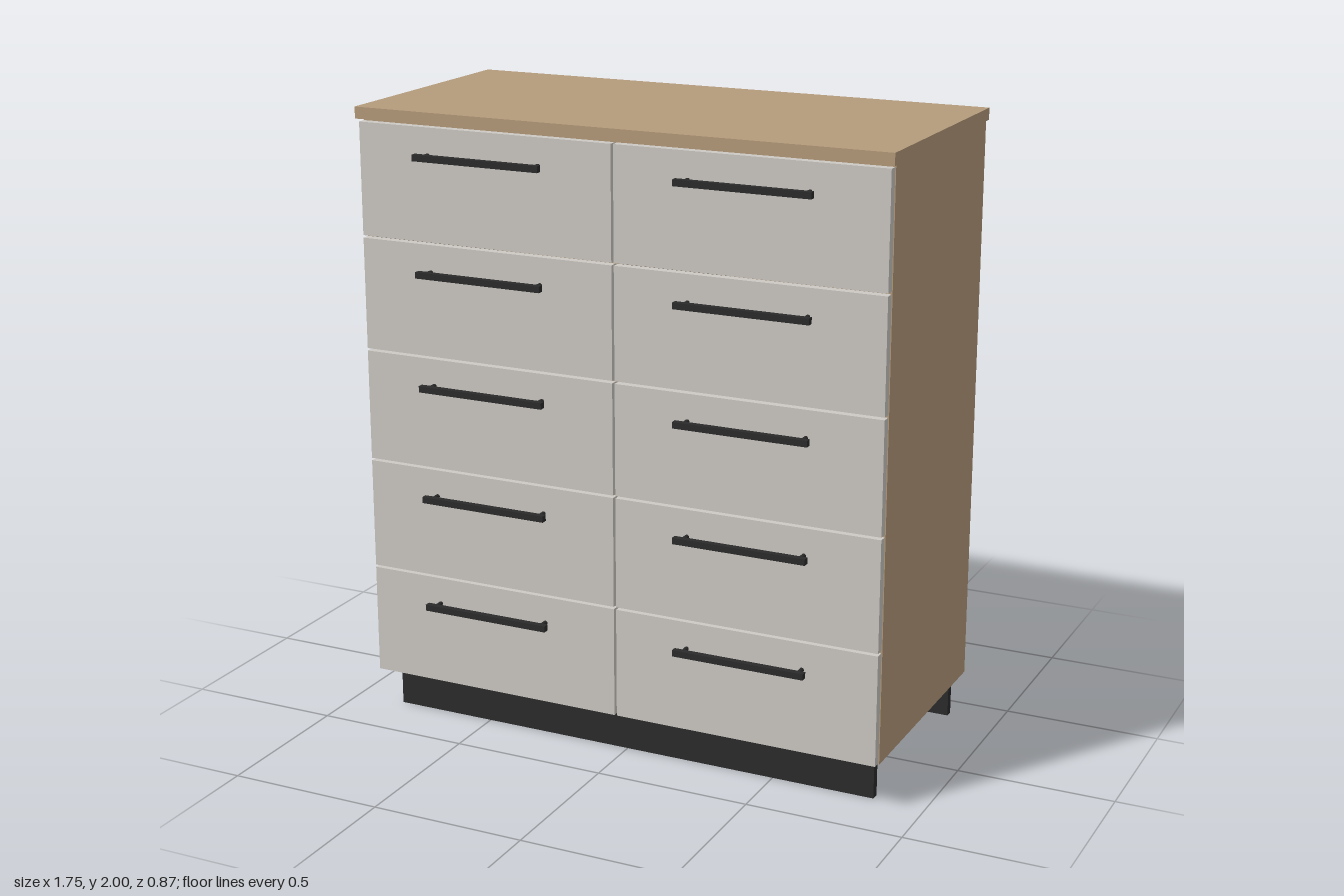
import * as THREE from 'three';

export function createModel() {
  const model = new THREE.Group();
  model.name = 'chestOfDrawers';

  const wood = new THREE.MeshStandardMaterial({ color: 0xb59b7b });
  const paint = new THREE.MeshStandardMaterial({ color: 0xcdc9c4 });
  const black = new THREE.MeshStandardMaterial({ color: 0x2b2b2b });

  // Box given by its minimum and maximum corners
  function box(parent, name, material, [x0, y0, z0], [x1, y1, z1]) {
    const mesh = new THREE.Mesh(new THREE.BoxGeometry(x1 - x0, y1 - y0, z1 - z0), material);
    mesh.position.set((x0 + x1) / 2, (y0 + y1) / 2, (z0 + z1) / 2);
    mesh.name = name;
    parent.add(mesh);
    return mesh;
  }

  const W = 0.868, T = 0.022;        // carcass half width, panel thickness
  const Y0 = 0.142, Y1 = 1.963;      // carcass bottom and top
  const ZB = -0.433, ZF = 0.35;      // carcass back and front

  // Carcass
  const carcass = new THREE.Group();
  carcass.name = 'carcass';
  model.add(carcass);
  box(carcass, 'rightSide', wood, [-W, Y0, ZB], [-W + T, Y1, ZF]);
  box(carcass, 'leftSide', wood, [W - T, Y0, ZB], [W, Y1, ZF]);
  box(carcass, 'bottomPanel', wood, [-W + T, Y0, ZB], [W - T, Y0 + T, ZF]);
  box(carcass, 'topRail', wood, [-W + T, Y1 - T, ZB], [W - T, Y1, ZF]);
  box(carcass, 'backPanel', wood, [-W + T, Y0 + T, ZB + 0.001], [W - T, Y1 - T, ZB + 0.015]);
  box(carcass, 'divider', wood, [-T / 2, Y0 + T, ZB + 0.015], [T / 2, Y1 - T, ZF]);

  // Worktop
  box(model, 'worktop', wood, [-0.877, Y1, ZB], [0.877, 2, 0.385]);

  // Plinth boards, front and back
  box(model, 'frontPlinth', black, [-0.833, 0, 0.27], [0.833, Y0, 0.297]);
  box(model, 'backPlinth', black, [-0.833, 0, -0.408], [0.833, Y0, -0.381]);

  // Five rows of two drawers with bar handles
  const pitch = 0.363, gap = 0.008;
  const post = new THREE.CylinderGeometry(0.007, 0.007, 0.036, 16).rotateX(Math.PI / 2);
  for (let row = 0; row < 5; row++) {
    const y = 0.147 + row * pitch;
    for (const side of [-1, 1]) {
      const drawer = new THREE.Group();
      drawer.name = `drawer${side < 0 ? 'Right' : 'Left'}${row + 1}`;
      model.add(drawer);

      const cx = side * 0.435;
      box(drawer, 'drawerFront', paint,
        [cx - 0.431, y, 0.352], [cx + 0.431, y + pitch - gap, 0.38]);

      const hy = y + 0.269;
      box(drawer, 'handleBar', black,
        [cx - 0.215, hy - 0.01, 0.413], [cx + 0.215, hy + 0.01, 0.433]);
      for (const dx of [-0.19, 0.19]) {
        const mesh = new THREE.Mesh(post, black);
        mesh.name = 'handlePost';
        mesh.position.set(cx + dx, hy, 0.397);
        drawer.add(mesh);
      }
    }
  }
  return model;
}
